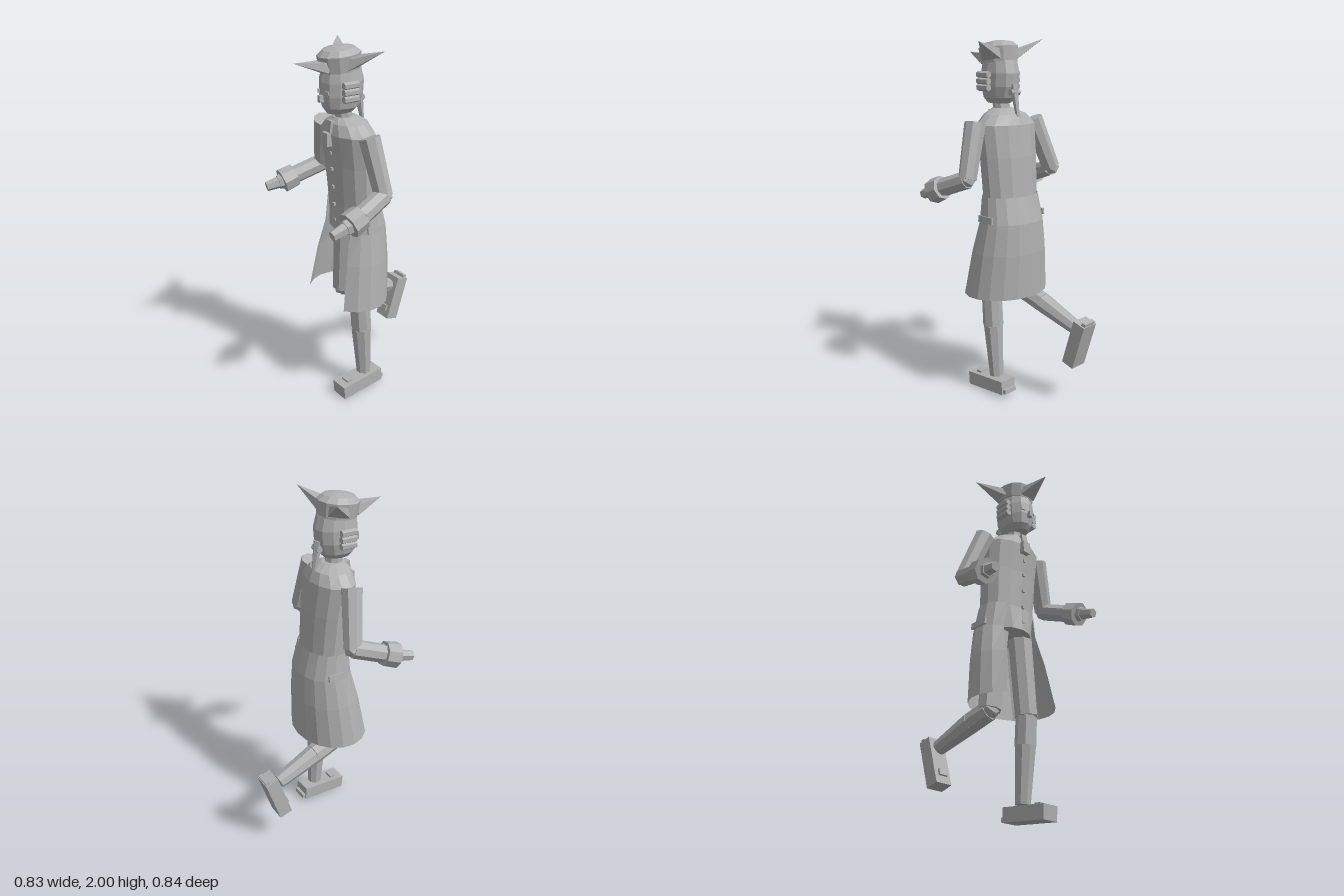
import * as THREE from 'three';
import { ConvexGeometry } from 'three/addons/geometries/ConvexGeometry.js';

const V = (p) => new THREE.Vector3(...p);

export function createModel() {
  const grey = new THREE.MeshStandardMaterial({ color: 0xb0b0b0, flatShading: true, side: THREE.DoubleSide });
  grey.name = 'grey';
  const model = new THREE.Group();
  model.name = 'runningFigure';

  const add = (name, geometry, parent = model) => {
    const mesh = new THREE.Mesh(geometry, grey);
    mesh.name = name;
    parent.add(mesh);
    return mesh;
  };

  const box = (name, size, pos, parent = model, rot = [0, 0, 0]) => {
    const mesh = add(name, new THREE.BoxGeometry(...size), parent);
    mesh.position.set(...pos);
    mesh.rotation.set(...rot);
    return mesh;
  };

  // Tapered tube between two points
  const limb = (name, a, b, ra, rb, sides = 8, parent = model) => {
    const from = V(a), dir = V(b).sub(from);
    const mesh = add(name, new THREE.CylinderGeometry(rb, ra, dir.length(), sides), parent);
    mesh.position.copy(from).addScaledVector(dir, 0.5);
    mesh.quaternion.setFromUnitVectors(new THREE.Vector3(0, 1, 0), dir.normalize());
    return mesh;
  };

  // Elliptical rings listed bottom to top: [y, x, z, rx, rz, half opening at the front]
  const loft = (rings, n, capped = true) => {
    const pos = [], idx = [], w = n + 1;
    rings.forEach(([y, x, z, rx, rz, open = 0]) => {
      for (let j = 0; j <= n; j++) {
        const t = open + (j / n) * (Math.PI * 2 - open * 2);
        pos.push(x + Math.sin(t) * rx, y, z + Math.cos(t) * rz);
      }
    });
    for (let i = 0; i < rings.length - 1; i++) {
      for (let j = 0; j < n; j++) {
        const a = i * w + j, b = a + 1, c = b + w, d = a + w;
        idx.push(a, b, c, a, c, d);
      }
    }
    if (capped) {
      const last = (rings.length - 1) * w;
      for (let j = 1; j < n - 1; j++) idx.push(0, j + 1, j, last, last + j, last + j + 1);
    }
    const g = new THREE.BufferGeometry();
    g.setAttribute('position', new THREE.Float32BufferAttribute(pos, 3));
    g.setIndex(idx);
    const flat = g.toNonIndexed();
    flat.computeVertexNormals();
    return flat;
  };

  // Torso and open coat skirt
  add('torso', loft([
    [1.02, 0.015, 0.06, 0.14, 0.13], [1.16, 0.015, 0.06, 0.17, 0.12],
    [1.38, 0.015, 0.075, 0.18, 0.12], [1.55, 0.015, 0.095, 0.187, 0.12],
    [1.605, 0.015, 0.1, 0.125, 0.1], [1.635, 0.018, 0.115, 0.055, 0.06],
  ], 14));
  add('coatSkirt', loft([
    [0.6, 0.015, 0.1, 0.255, 0.205, 0.76], [0.85, 0.015, 0.07, 0.225, 0.18, 0.72],
    [1.02, 0.015, 0.048, 0.195, 0.15, 0.66], [1.165, 0.015, 0.06, 0.175, 0.125, 0.6],
  ], 14, false));
  for (const s of [-1, 1]) {
    box('pocketFlap', [0.012, 0.035, 0.11], [0.015 + s * 0.192, 1.045, 0.045], model, [0, 0, s * 0.12]);
  }
  [1.07, 1.16, 1.26, 1.36, 1.45].forEach((y, i) =>
    box('button', [0.016, 0.016, 0.012], [0.02, y, 0.184 + i * 0.005]));
  box('neckcloth', [0.05, 0.07, 0.035], [0.012, 1.525, 0.218]);
  box('neckclothKnot', [0.04, 0.06, 0.03], [0.018, 1.59, 0.2], model, [-0.15, 0, 0]);

  // Neck and head
  limb('neck', [0.02, 1.6, 0.12], [0.02, 1.7, 0.13], 0.048, 0.045, 8);
  add('head', loft([
    [1.66, 0.02, 0.145, 0.05, 0.075], [1.69, 0.02, 0.14, 0.08, 0.1],
    [1.75, 0.02, 0.135, 0.094, 0.117], [1.82, 0.02, 0.132, 0.096, 0.12],
    [1.89, 0.02, 0.135, 0.085, 0.105],
  ], 12));
  box('nose', [0.022, 0.035, 0.03], [0.02, 1.742, 0.255]);
  for (const s of [-1, 1]) {
    box('eye', [0.02, 0.016, 0.009], [0.02 + s * 0.038, 1.773, 0.243], model, [0, s * 0.3, 0]);
    // Three stacked side curls
    for (let i = 0; i < 3; i++) {
      const x = 0.02 + s * 0.105, y = 1.745 + i * 0.034;
      limb('sideCurl', [x, y, 0.105], [x, y, 0.19], 0.019, 0.019, 6);
    }
  }
  limb('pigtail', [0.015, 1.76, 0.03], [0.012, 1.59, 0.0], 0.026, 0.01, 6);
  limb('pigtailBow', [-0.015, 1.72, 0.022], [0.045, 1.72, 0.022], 0.018, 0.018, 6);

  // Three-cornered hat
  const crown = add('hatCrown', loft([
    [-0.06, 0, 0, 0.098, 0.108], [-0.035, 0, 0, 0.1, 0.11], [0.02, 0, 0, 0.105, 0.115],
    [0.045, 0, 0, 0.078, 0.085], [0.055, 0, 0, 0.03, 0.03],
  ], 12));
  crown.position.set(0.02, 1.935, 0.145);
  crown.rotation.x = 0.1;
  const horns = [
    ['frontBrimPoint', [0.012, 1.93, 0.4], 0],
    ['leftBrimPoint', [0.25, 1.985, 0.035], 1.95],
    ['rightBrimPoint', [-0.19, 2.0, 0.015], -2.0],
  ];
  for (const [name, tip, angle] of horns) {
    const pts = [V(tip)];
    for (const d of [-0.55, 0, 0.55]) {
      const a = angle + d, sn = Math.sin(a), cs = Math.cos(a);
      const low = 1.885 - cs * 0.015;
      pts.push(V([0.02 + sn * 0.1, low, 0.145 + cs * 0.11]));
      pts.push(V([0.02 + sn * 0.09, low + 0.05, 0.145 + cs * 0.1]));
    }
    add(name, new ConvexGeometry(pts));
  }
  box('hatBadge', [0.06, 0.04, 0.02], [0.02, 1.905, 0.25], model, [-0.2, 0, 0]);

  // Bent arms with wide cuffs
  const arms = [
    ['leftArm', [0.222, 1.565, 0.105], [0.305, 1.275, 0.075], [0.343, 1.215, 0.24], [0.347, 1.185, 0.315], [0.348, 1.155, 0.415]],
    ['rightArm', [-0.195, 1.565, 0.105], [-0.3, 1.28, 0.055], [-0.337, 1.225, 0.22], [-0.348, 1.2, 0.295], [-0.366, 1.18, 0.385]],
  ];
  for (const [name, shoulder, elbow, cuff, wrist, hand] of arms) {
    const arm = new THREE.Group();
    arm.name = name;
    model.add(arm);
    limb('upperArm', shoulder, elbow, 0.058, 0.05, 8, arm);
    add('elbow', new THREE.IcosahedronGeometry(0.05, 0), arm).position.set(...elbow);
    limb('forearm', elbow, cuff, 0.05, 0.05, 8, arm);
    limb('cuff', cuff, wrist, 0.066, 0.07, 8, arm);
    limb('wrist', wrist, V(wrist).lerp(V(hand), 0.25).toArray(), 0.044, 0.04, 6, arm);
    limb('hand', wrist, hand, 0.036, 0.027, 6, arm);
  }

  // Standing left leg and bent right leg
  const legs = [
    ['leftLeg', [0.11, 1.04, 0.07], [0.125, 0.57, 0.095], [0.125, 0.41, 0.085], [0.12, 0.105, 0.065]],
    ['rightLeg', [-0.06, 1.04, 0.06], [-0.105, 0.565, 0.055], [-0.118, 0.525, -0.07], [-0.14, 0.435, -0.31]],
  ];
  for (const [name, hip, knee, calf, ankle] of legs) {
    const leg = new THREE.Group();
    leg.name = name;
    model.add(leg);
    limb('thigh', hip, knee, 0.07, 0.063, 8, leg);
    add('knee', new THREE.IcosahedronGeometry(0.058, 0), leg).position.set(...knee);
    limb('upperCalf', knee, calf, 0.057, 0.058, 8, leg);
    limb('lowerCalf', calf, ankle, 0.058, 0.042, 8, leg);
  }

  // Buckled shoes
  const shoe = (name, pos, rot) => {
    const g = new THREE.Group();
    g.name = name;
    box('shoeBody', [0.105, 0.078, 0.275], [0, 0, 0], g);
    box('heel', [0.085, 0.025, 0.03], [0, -0.022, -0.14], g);
    box('buckle', [0.055, 0.014, 0.035], [0, 0.044, 0.075], g);
    g.position.set(...pos);
    g.rotation.set(...rot);
    model.add(g);
  };
  shoe('leftShoe', [0.122, 0.051, 0.108], [0.07, 0.06, 0]);
  shoe('rightShoe', [-0.14, 0.352, -0.338], [1.27, 0, -0.05]);

  return model;
}
